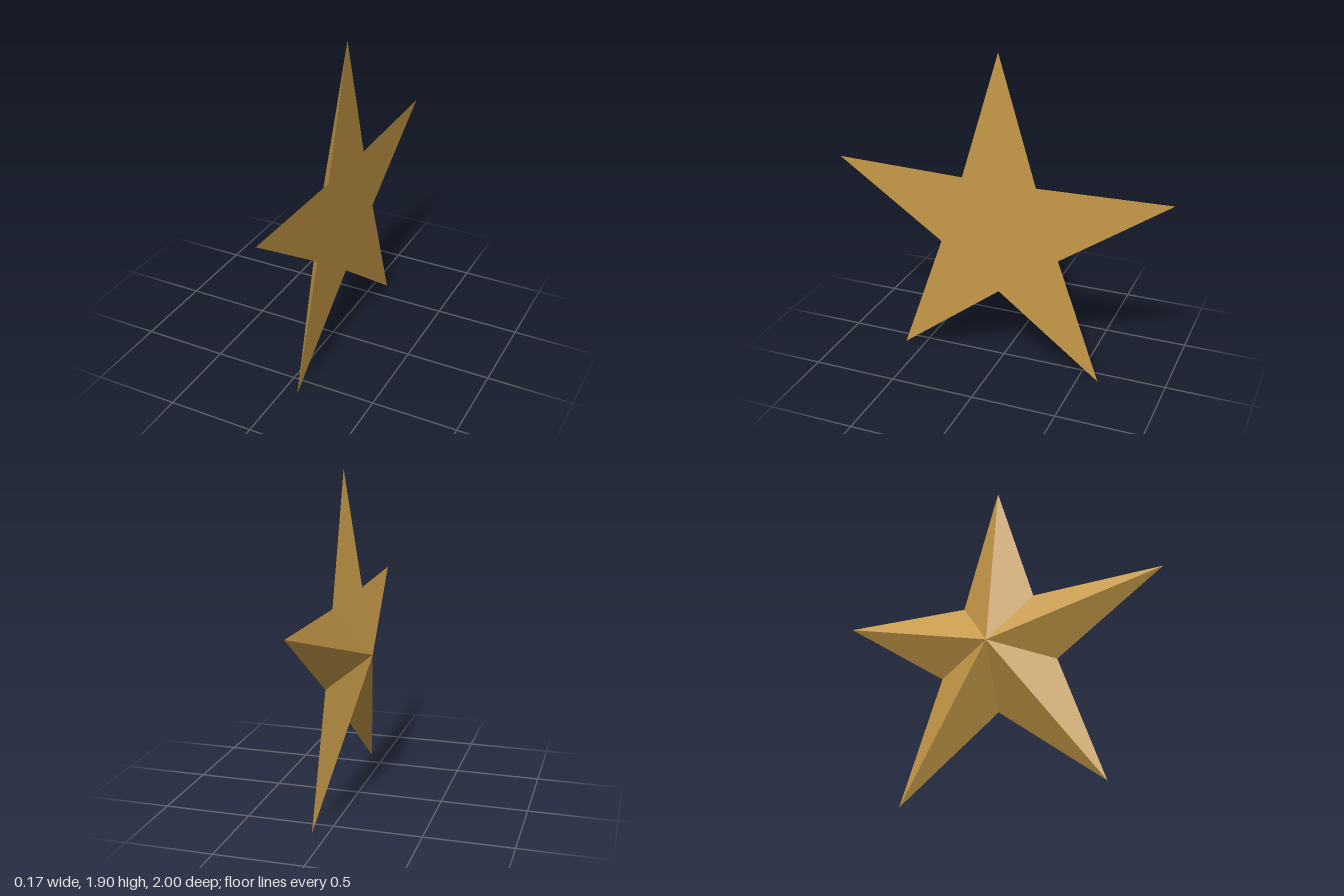
import * as THREE from 'three';

const OUTER = 1.0515, INNER = 0.378, CENTRE_Y = 0.851, HALF_DEPTH = 0.085;

// Corner i of the ten-sided star outline; even corners are tips
function corner(i) {
  const r = i % 2 === 0 ? OUTER : INNER;
  const a = (i * Math.PI) / 5;
  return [HALF_DEPTH, r * Math.cos(a), r * Math.sin(a)];
}

// Fan of ten triangles joining a hub point to the outline
function starFan(hubX, flip) {
  const positions = [];
  for (let i = 0; i < 10; i++) {
    const a = corner(i), b = corner((i + 1) % 10);
    positions.push(hubX, 0, 0, ...(flip ? b : a), ...(flip ? a : b));
  }
  const geometry = new THREE.BufferGeometry();
  geometry.setAttribute('position', new THREE.Float32BufferAttribute(positions, 3));
  geometry.computeVertexNormals();
  return geometry;
}

export function createModel() {
  const gold = new THREE.MeshStandardMaterial({ color: 0xc89b48 });
  gold.name = 'gold';

  const star = new THREE.Group();
  star.name = 'star';
  star.position.y = CENTRE_Y;

  // Faceted side, ridged towards a raised centre on -x
  const facets = new THREE.Mesh(starFan(-HALF_DEPTH, true), gold);
  facets.name = 'starFacets';

  // Flat backing on +x
  const backing = new THREE.Mesh(starFan(HALF_DEPTH, false), gold);
  backing.name = 'starBacking';

  star.add(facets, backing);
  const model = new THREE.Group();
  model.name = 'starOrnament';
  model.add(star);
  return model;
}
